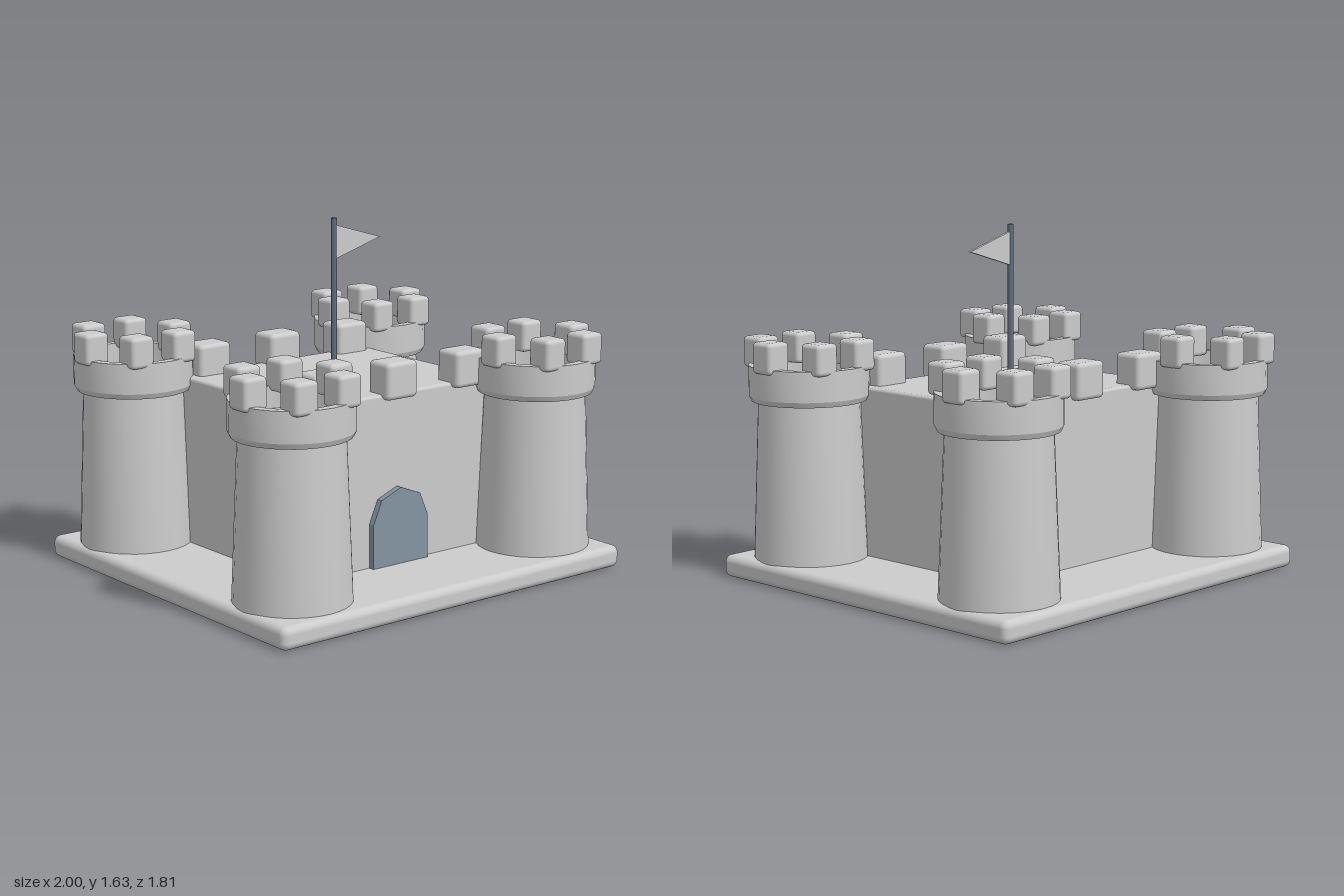
import * as THREE from 'three';
import { toCreasedNormals } from 'three/addons/utils/BufferGeometryUtils.js';
import { RoundedBoxGeometry } from 'three/addons/geometries/RoundedBoxGeometry.js';

const stone = new THREE.MeshStandardMaterial({ color: 0xcccccc });
const doorPaint = new THREE.MeshStandardMaterial({ color: 0x8294a0 });
const polePaint = new THREE.MeshStandardMaterial({ color: 0x5f707e });

function add(parent, name, geometry, material, x = 0, y = 0, z = 0) {
  const mesh = new THREE.Mesh(geometry, material);
  mesh.name = name;
  mesh.position.set(x, y, z);
  parent.add(mesh);
  return mesh;
}

// Tapered shaft, flared parapet and sunken floor in one turned profile
const towerProfile = [
  [0.265, 0.09], [0.235, 0.835], [0.265, 0.835], [0.277, 0.86],
  [0.277, 1.0], [0.235, 1.0], [0.235, 0.9], [0, 0.9],
].map(([r, y]) => new THREE.Vector2(r, y));

function createTower(towerGeo, merlonGeo) {
  const tower = new THREE.Group();
  tower.name = 'tower';
  add(tower, 'towerBody', towerGeo, stone);
  for (let i = 0; i < 6; i++) {
    const a = (i * Math.PI) / 3;
    add(tower, 'towerMerlon', merlonGeo, stone, 0.23 * Math.cos(a), 1.05, 0.23 * Math.sin(a));
  }
  return tower;
}

export function createModel() {
  const castle = new THREE.Group();
  castle.name = 'castle';

  // Ground slab and central keep
  add(castle, 'base', new RoundedBoxGeometry(1.98, 0.105, 1.81, 3, 0.035), stone, 0, 0.0525, 0);
  add(castle, 'keep', new RoundedBoxGeometry(1.1, 0.83, 0.91, 2, 0.015), stone, 0, 0.48, 0);

  // Merlons along the front and back walls
  const wallMerlonGeo = new RoundedBoxGeometry(0.177, 0.17, 0.142, 2, 0.022);
  for (const z of [-0.43, 0.425]) {
    for (const x of [-0.41, 0, 0.41]) add(castle, 'wallMerlon', wallMerlonGeo, stone, x, 0.955, z);
  }

  // Four corner towers
  const towerGeo = toCreasedNormals(new THREE.LatheGeometry(towerProfile, 32), 0.4);
  const merlonGeo = new RoundedBoxGeometry(0.122, 0.145, 0.122, 2, 0.02);
  for (const sx of [-1, 1]) {
    for (const sz of [-1, 1]) {
      const tower = createTower(towerGeo, merlonGeo);
      tower.position.set(sx * 0.709, 0, sz * 0.6);
      castle.add(tower);
    }
  }

  // Arched door with a faceted head
  const arch = new THREE.Shape();
  arch.moveTo(-0.16, 0.1);
  arch.lineTo(0.16, 0.1);
  for (let i = 0; i <= 4; i++) {
    const a = (i * Math.PI) / 4;
    arch.lineTo(0.16 * Math.cos(a), 0.31 + 0.152 * Math.sin(a));
  }
  arch.closePath();
  const doorGeo = new THREE.ExtrudeGeometry(arch, { depth: 0.03, bevelEnabled: false });
  add(castle, 'door', doorGeo, doorPaint, 0, 0, 0.455);

  // Flagpole and pennant
  add(castle, 'flagpole', new THREE.CylinderGeometry(0.014, 0.014, 0.74, 12), polePaint, 0, 1.26, 0);
  const pennant = new THREE.Shape();
  pennant.moveTo(0, 1.44);
  pennant.lineTo(0.27, 1.52);
  pennant.lineTo(0, 1.6);
  pennant.closePath();
  const flagGeo = new THREE.ExtrudeGeometry(pennant, { depth: 0.014, bevelEnabled: false });
  add(castle, 'flag', flagGeo, stone, 0, 0, -0.007);

  return castle;
}
